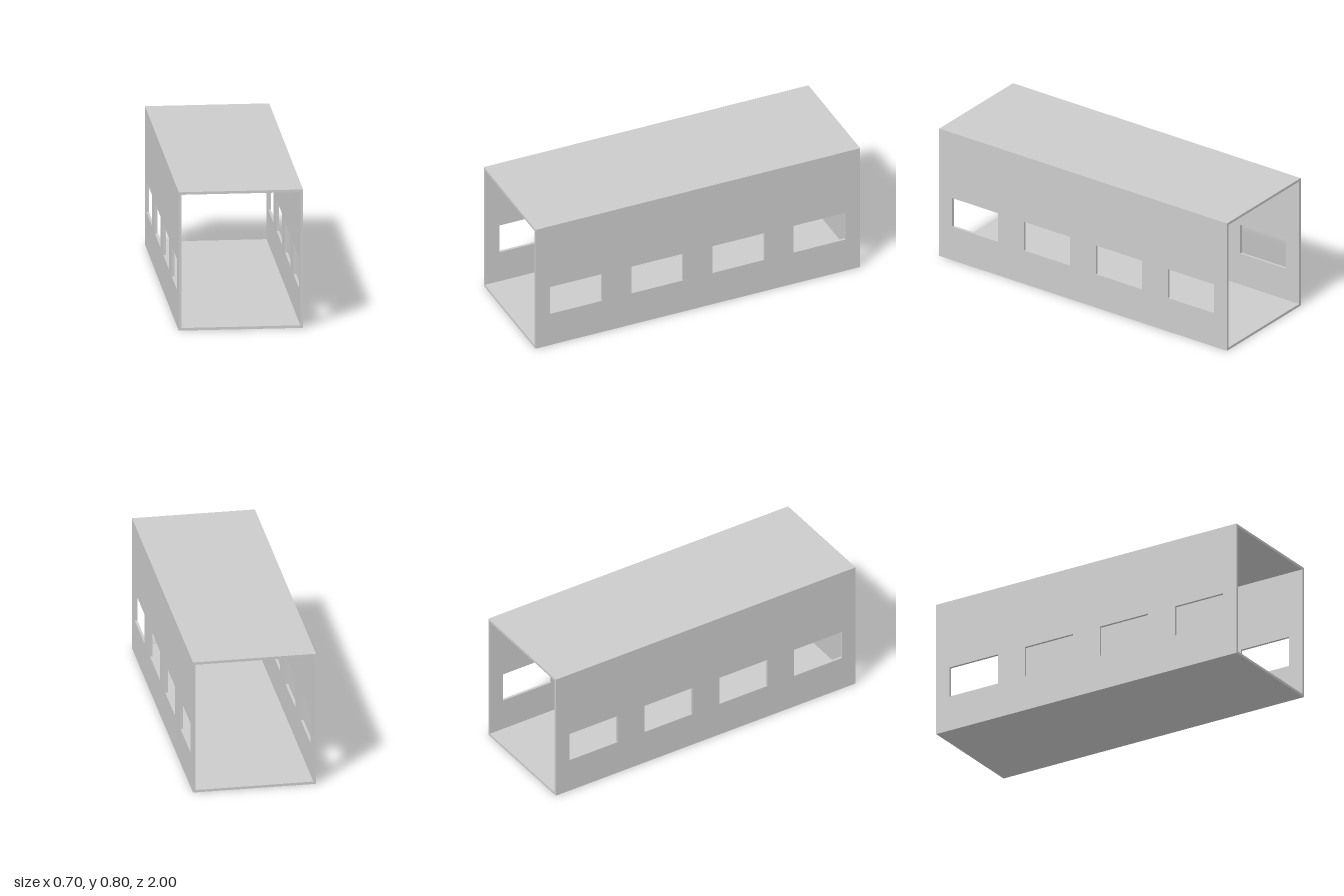
import * as THREE from 'three';

const WIDTH = 0.7, HEIGHT = 0.8, LENGTH = 2, THICK = 0.015;
const WINDOW = { width: 0.32, bottom: 0.21, top: 0.39, centres: [-0.75, -0.25, 0.25, 0.75] };

// Rectangle traced in order, usable as an outline or a hole
function rectangle(path, x0, y0, x1, y1) {
  path.moveTo(x0, y0);
  path.lineTo(x1, y0);
  path.lineTo(x1, y1);
  path.lineTo(x0, y1);
  path.closePath();
  return path;
}

export function createModel() {
  const group = new THREE.Group();
  group.name = 'openTube';
  const material = new THREE.MeshStandardMaterial({ color: 0xcccccc });

  const add = (name, geometry, x, y) => {
    const mesh = new THREE.Mesh(geometry, material);
    mesh.name = name;
    mesh.position.set(x, y, 0);
    group.add(mesh);
  };

  // Side wall with a row of four window openings
  const wall = rectangle(new THREE.Shape(), -LENGTH / 2, 0, LENGTH / 2, HEIGHT);
  for (const c of WINDOW.centres) {
    const half = WINDOW.width / 2;
    wall.holes.push(rectangle(new THREE.Path(), c - half, WINDOW.bottom, c + half, WINDOW.top));
  }
  const wallGeometry = new THREE.ExtrudeGeometry(wall, { depth: THICK, bevelEnabled: false });
  wallGeometry.rotateY(Math.PI / 2);
  add('leftWall', wallGeometry, WIDTH / 2 - THICK, 0);
  add('rightWall', wallGeometry, -WIDTH / 2, 0);

  // Floor and roof fit between the walls; both ends stay open
  const panelGeometry = new THREE.BoxGeometry(WIDTH - 2 * THICK, THICK, LENGTH);
  add('floor', panelGeometry, 0, THICK / 2);
  add('roof', panelGeometry, 0, HEIGHT - THICK / 2);

  return group;
}
